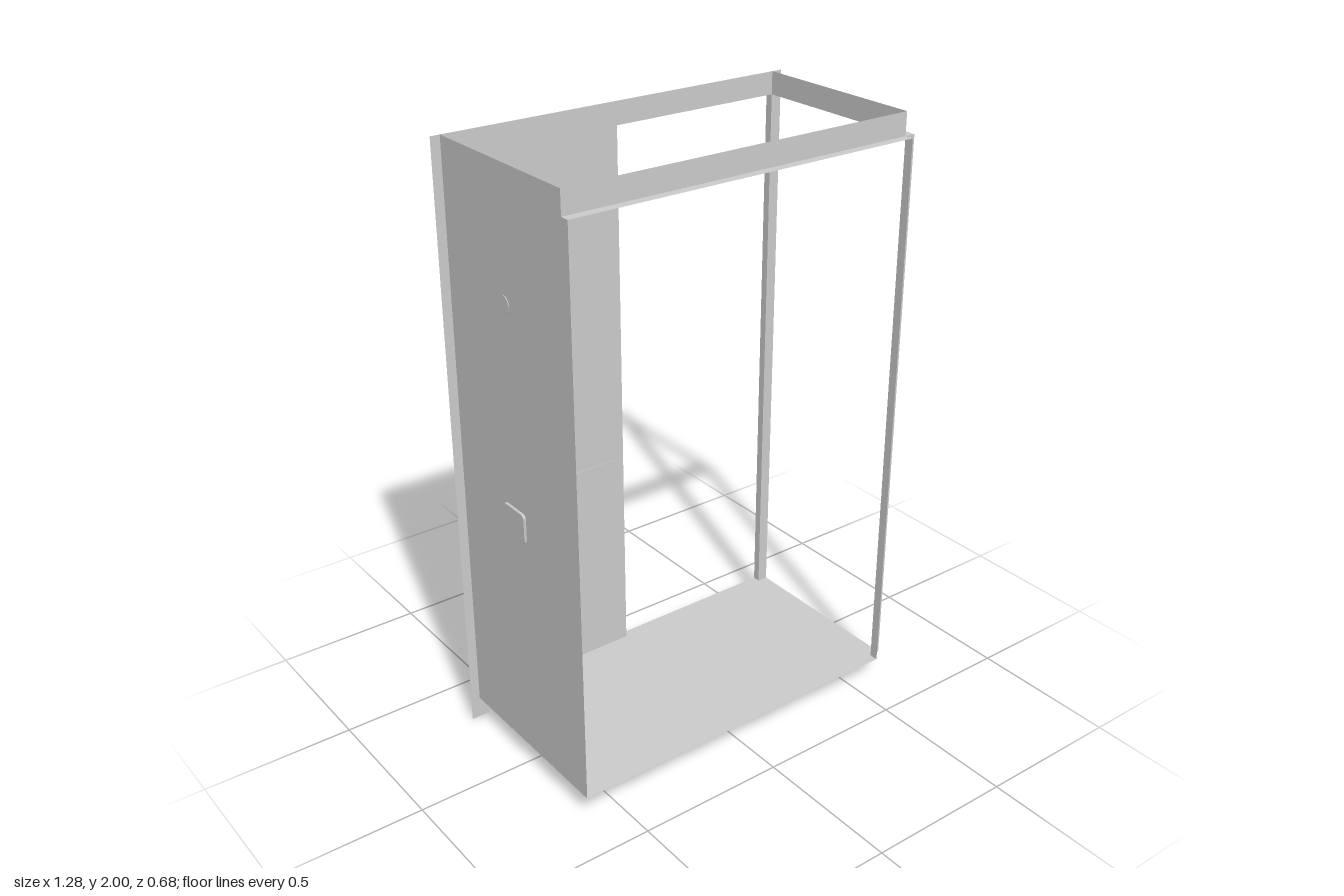
import * as THREE from 'three';

// Main planes of the enclosure
const XL = -0.61, XR = 0.605, ZB = -0.303, ZF = 0.308;
const Y0 = 0.073, Y1 = 1.925, TOP = 2;
const XO = 0.642;              // outer edge of the back frame
const ZBO = -0.329, ZFO = 0.338; // outer edges of the flanges
const DX0 = -0.022, DX1 = -0.007; // divider of the back frame

export function createModel() {
  const group = new THREE.Group();
  const thin = new THREE.MeshStandardMaterial({ color: 0xcccccc, side: THREE.DoubleSide });
  const faceted = new THREE.MeshStandardMaterial({ color: 0xcccccc, side: THREE.DoubleSide, flatShading: true });

  const add = (name, geometry, material = thin, parent = group) => {
    const mesh = new THREE.Mesh(geometry, material);
    mesh.name = name;
    parent.add(mesh);
    return mesh;
  };

  // Thin sheets between two opposite corners, lying in one axis plane
  const sheetX = (name, x, y0, y1, z0, z1) => {
    const m = add(name, new THREE.PlaneGeometry(z1 - z0, y1 - y0));
    m.rotation.y = Math.PI / 2;
    m.position.set(x, (y0 + y1) / 2, (z0 + z1) / 2);
  };
  const sheetY = (name, y, x0, x1, z0, z1) => {
    const m = add(name, new THREE.PlaneGeometry(x1 - x0, z1 - z0));
    m.rotation.x = -Math.PI / 2;
    m.position.set((x0 + x1) / 2, y, (z0 + z1) / 2);
  };
  const sheetZ = (name, z, x0, x1, y0, y1) => {
    const m = add(name, new THREE.PlaneGeometry(x1 - x0, y1 - y0));
    m.position.set((x0 + x1) / 2, (y0 + y1) / 2, z);
  };

  // Floor and plumbing wall
  sheetY('floor', Y0, XL, XR, ZB, ZF);
  sheetX('plumbingWall', XL, Y0, TOP, ZB, ZF);

  // Back frame with two openings
  const rect = (P, x0, x1, y0, y1) => {
    const p = new P();
    p.moveTo(x0, y0); p.lineTo(x1, y0); p.lineTo(x1, y1); p.lineTo(x0, y1); p.closePath();
    return p;
  };
  const frame = rect(THREE.Shape, -XO, XO, 0, TOP);
  const openings = [[XL, DX0], [DX1, XR]];
  for (const [x0, x1] of openings) frame.holes.push(rect(THREE.Path, x0, x1, Y0, Y1));
  add('backFrame', new THREE.ShapeGeometry(frame)).position.z = ZB;

  // Flanges around the back and front openings
  const reveal = (name, x0, x1, z0, z1) => {
    for (const x of [x0, x1]) sheetX(name, x, Y0, Y1, z0, z1);
    for (const y of [Y0, Y1]) sheetY(name, y, x0, x1, z0, z1);
  };
  for (const [x0, x1] of openings) reveal('backFlange', x0, x1, ZBO, ZB);
  reveal('frontFlange', XL, XR, ZF, ZFO);

  // Flange around the right-hand opening
  for (const y of [Y0, Y1]) sheetY('sideFlange', y, XR, XO, ZB, ZF);
  sheetZ('sideFlange', ZF, XR, XO, Y0, Y1);

  // Top rails of the two open sides
  sheetZ('frontTopRail', ZF, XL, XR, Y1, TOP);
  sheetX('sideTopRail', XR, Y1, TOP, ZB, ZF);

  // Back panel and its cross bar
  sheetZ('backPanel', ZB, XL, DX0, Y0, Y1);
  const bar = add('crossBar', new THREE.BoxGeometry(DX0 - XL, 0.027, 0.042));
  bar.position.set((XL + DX0) / 2, 0.78, -0.322);

  // Shower arm with wall rose
  const shower = new THREE.Group();
  shower.name = 'showerHead';
  group.add(shower);
  const rose = add('wallRose', new THREE.CylinderGeometry(0.022, 0.028, 0.014, 12), faceted, shower);
  rose.rotation.z = -Math.PI / 2;
  rose.position.set(XL + 0.003, 1.59, 0);
  const path = new THREE.CatmullRomCurve3([
    [-0.61, 1.59], [-0.575, 1.587], [-0.548, 1.568], [-0.525, 1.537], [-0.508, 1.512],
  ].map(([x, y]) => new THREE.Vector3(x, y, 0)));
  add('showerArm', new THREE.TubeGeometry(path, 10, 0.011, 8), thin, shower);

  // Eight-sided head with a recessed spray face
  const profile = [[0, 0.005], [0.017, 0.003], [0.019, -0.008], [0.04, -0.014],
    [0.043, -0.022], [0.043, -0.07], [0.037, -0.07], [0.035, -0.064], [0, -0.064]];
  const head = add('sprayHead', new THREE.LatheGeometry(
    profile.map(([r, y]) => new THREE.Vector2(r, y)).reverse(), 8), faceted, shower);
  head.position.set(-0.503, 1.508, 0);
  head.rotation.z = Math.atan2(0.61, 0.79);

  // Valve plate with rounded corners
  const valve = new THREE.Group();
  valve.name = 'valve';
  group.add(valve);
  const w = 0.058, h = 0.051, r = 0.018;
  const plate = new THREE.Shape();
  plate.moveTo(-w + r, -h);
  plate.lineTo(w - r, -h); plate.quadraticCurveTo(w, -h, w, -h + r);
  plate.lineTo(w, h - r); plate.quadraticCurveTo(w, h, w - r, h);
  plate.lineTo(-w + r, h); plate.quadraticCurveTo(-w, h, -w, h - r);
  plate.lineTo(-w, -h + r); plate.quadraticCurveTo(-w, -h, -w + r, -h);
  const plateMesh = add('valvePlate', new THREE.ExtrudeGeometry(plate, {
    depth: 0.01, bevelThickness: 0.003, bevelSize: 0.003, bevelOffset: -0.003, bevelSegments: 1, curveSegments: 4,
  }), faceted, valve);
  plateMesh.rotation.y = Math.PI / 2;
  plateMesh.position.set(XL - 0.004, 0.89, 0);

  // Valve lever: a thin bent strip
  const lever = new THREE.Shape([
    [-0.602, 0.868], [-0.589, 0.905], [-0.572, 0.905], [-0.563, 0.885], [-0.541, 0.832],
    [-0.546, 0.832], [-0.568, 0.877], [-0.578, 0.889], [-0.586, 0.889], [-0.597, 0.868],
  ].map(([x, y]) => new THREE.Vector2(x, y)));
  add('valveLever', new THREE.ExtrudeGeometry(lever, { depth: 0.02, bevelEnabled: false }), faceted, valve)
    .position.z = -0.01;

  return group;
}
